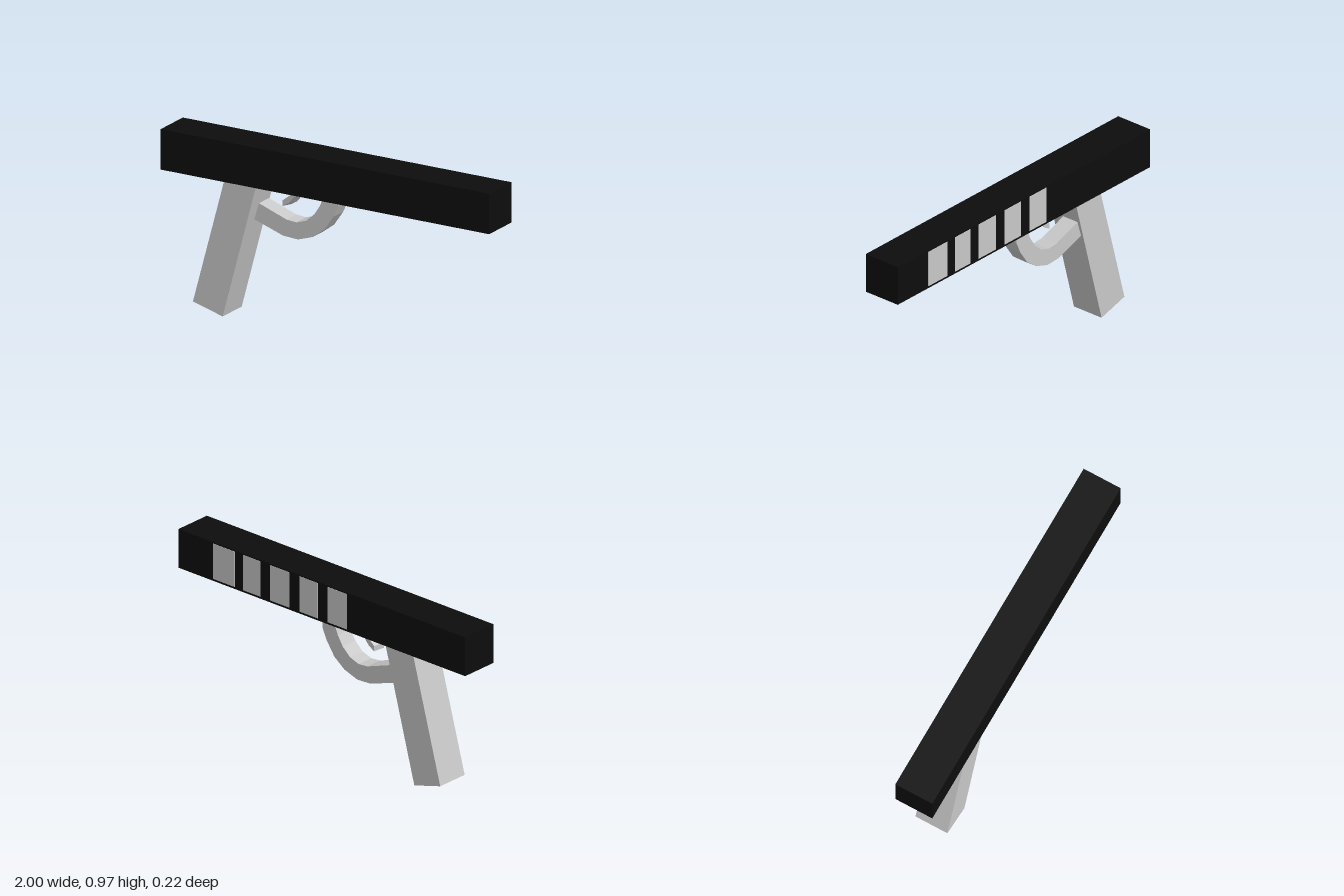
import * as THREE from 'three';

const black = new THREE.MeshStandardMaterial({ color: 0x0d0d0d });
black.name = 'black';
const grey = new THREE.MeshStandardMaterial({ color: 0xc8c8c8 });
grey.name = 'light grey';

// Flat outline in x and y, extruded from zBack to zFront
function slab(name, points, zBack, zFront) {
  const shape = new THREE.Shape(points.map(([x, y]) => new THREE.Vector2(x, y)));
  const geometry = new THREE.ExtrudeGeometry(shape, { depth: zFront - zBack, bevelEnabled: false });
  geometry.translate(0, 0, zBack);
  const mesh = new THREE.Mesh(geometry, grey);
  mesh.name = name;
  return mesh;
}

function box(name, material, x0, x1, y0, y1, z0, z1) {
  const mesh = new THREE.Mesh(new THREE.BoxGeometry(x1 - x0, y1 - y0, z1 - z0), material);
  mesh.position.set((x0 + x1) / 2, (y0 + y1) / 2, (z0 + z1) / 2);
  mesh.name = name;
  return mesh;
}

export function createModel() {
  const model = new THREE.Group();
  model.name = 'model';

  // Long square body
  model.add(box('body', black, -1, 1, 0.745, 0.967, -0.11, 0.11));

  // Slanted grip
  model.add(slab('grip', [[-0.813, 0.051], [-0.632, 0], [-0.43, 0.746], [-0.623, 0.746]], -0.095, 0.095));

  // Curved guard, running from the grip up to the body
  model.add(slab('guard', [
    [-0.487, 0.537], [-0.31, 0.478], [-0.22, 0.473], [-0.13, 0.503], [-0.06, 0.555],
    [-0.005, 0.635], [0.024, 0.7], [0.024, 0.746], [-0.06, 0.746], [-0.085, 0.685],
    [-0.12, 0.63], [-0.17, 0.585], [-0.23, 0.565], [-0.29, 0.57], [-0.458, 0.63],
  ], -0.08, 0.018));

  // Trigger, sheared so that its back edge sits further along x
  const trigger = slab('trigger', [
    [-0.308, 0.645], [-0.27, 0.667], [-0.235, 0.71], [-0.222, 0.75],
    [-0.238, 0.75], [-0.258, 0.715], [-0.308, 0.675],
  ], -0.03, 0.03);
  trigger.geometry.applyMatrix4(new THREE.Matrix4().set(
    1, 0, -0.25, 0.0075,
    0, 1, 0.08, -0.0024,
    0, 0, 1, 0,
    0, 0, 0, 1));
  trigger.geometry.computeVertexNormals();
  model.add(trigger);

  // Row of pale panels on the back of the body
  const panels = new THREE.Group();
  panels.name = 'backPanels';
  const spans = [[0.607, 0.759], [0.428, 0.547], [0.225, 0.361], [0.028, 0.155], [-0.176, -0.042]];
  for (const [x0, x1] of spans) panels.add(box('backPanel', grey, x0, x1, 0.757, 0.959, -0.112, -0.108));
  model.add(panels);

  return model;
}
